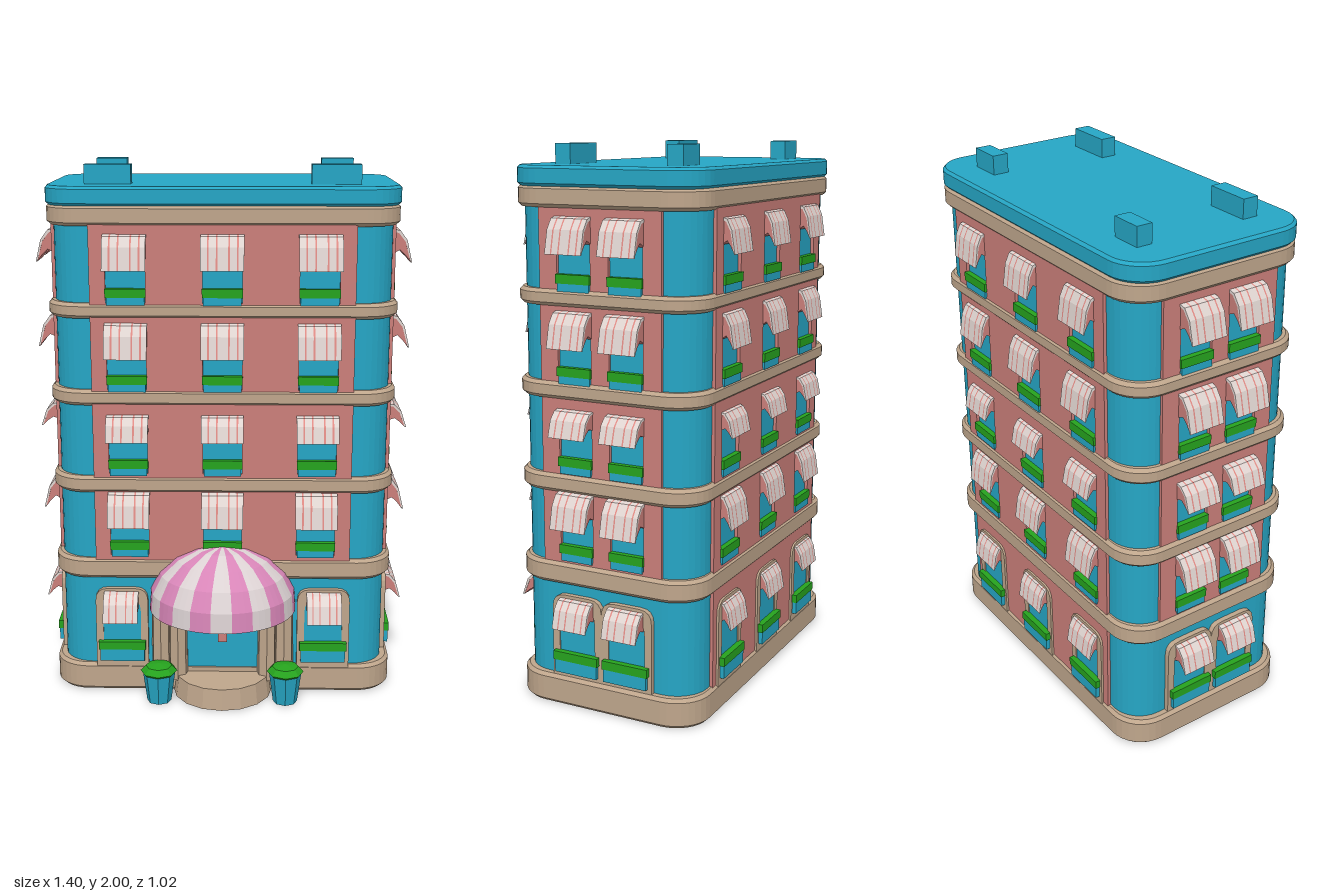
import * as THREE from 'three';
import { mergeGeometries } from 'three/addons/utils/BufferGeometryUtils.js';

const paint = (name, color) => Object.assign(new THREE.MeshStandardMaterial({ color }), { name });
const TEAL = paint('teal', 0x26a6c5);
const STONE = paint('stone', 0xbfa68c);
const BRICK = paint('brick', 0xcb7f7a);
const CLOTH = paint('white cloth', 0xe0d5d1);
const RED = paint('red stripe', 0xde8a84);
const LEAF = paint('leaf green', 0x26a31e);
const PINK = paint('canopy pink', 0xd886b8);
const CREAM = paint('canopy white', 0xdcd2d3);
PINK.side = CREAM.side = THREE.DoubleSide;

const MID_Z = -0.106;

// Faceted mesh added to a parent
function add(parent, name, geo, mat, x = 0, y = 0, z = 0) {
  const g = geo.index ? geo.toNonIndexed() : geo;
  g.computeVertexNormals();
  const m = new THREE.Mesh(g, mat);
  m.name = name;
  m.position.set(x, y, z);
  parent.add(m);
  return m;
}

const box = (w, h, d) => new THREE.BoxGeometry(w, h, d);

// Horizontal slab with rounded corners and bevelled edges
function slab(parent, name, hx, hz, y0, y1, r, bevel, mat) {
  const a = hx - bevel, b = hz - bevel;
  const s = new THREE.Shape();
  s.moveTo(a, -b + r).lineTo(a, b - r);
  s.absarc(a - r, b - r, r, 0, Math.PI / 2);
  s.absarc(-a + r, b - r, r, Math.PI / 2, Math.PI);
  s.absarc(-a + r, -b + r, r, Math.PI, Math.PI * 1.5);
  s.absarc(a - r, -b + r, r, Math.PI * 1.5, Math.PI * 2);
  const geo = new THREE.ExtrudeGeometry(s, {
    depth: y1 - y0 - 2 * bevel, curveSegments: 4, bevelEnabled: bevel > 0,
    bevelSize: bevel, bevelThickness: bevel, bevelSegments: 1,
  });
  geo.rotateX(-Math.PI / 2);
  return add(parent, name, geo, mat, 0, y0 + bevel, MID_Z);
}

// Outline with softened upper corners
function arch(path, w, y0, y1, c, x = 0) {
  path.moveTo(x - w, y0).lineTo(x + w, y0).lineTo(x + w, y1 - c);
  path.quadraticCurveTo(x + w, y1, x + w - c, y1).lineTo(x - w + c, y1);
  path.quadraticCurveTo(x - w, y1, x - w, y1 - c).lineTo(x - w, y0);
  return path;
}

function archFrame(w, y0, y1, iw, iy0, iy1, depth, c = 0.05) {
  const s = arch(new THREE.Shape(), w, y0, y1, c);
  s.holes.push(arch(new THREE.Path(), iw, iy0, iy1, c));
  return new THREE.ExtrudeGeometry(s, { depth, bevelEnabled: false, curveSegments: 4 });
}

// Awning: curved side profile swept across the width
const sweep = (pts, x0, x1) => {
  const s = new THREE.Shape(pts.map(p => new THREE.Vector2(...p)));
  return new THREE.ExtrudeGeometry(s, { depth: x1 - x0, bevelEnabled: false })
    .rotateY(-Math.PI / 2).translate(x1, 0, 0);
};
const SHELL = [[0, 0.112], [0.028, 0.106], [0.055, 0.075], [0.078, 0],
  [0.084, 0], [0.063, 0.08], [0.034, 0.115], [0, 0.122]];
const LINING = [[0, 0.03], [0.035, 0.045], [0.058, 0.025], [0.077, 0.002],
  [0.057, 0.075], [0.03, 0.107], [0, 0.114]];
const AW = 0.08;
const cloth = [], stripes = [];
let edge = -AW;
for (const x of [-0.052, -0.02, 0.025, 0.057]) {
  cloth.push(sweep(SHELL, edge, x - 0.003));
  stripes.push(sweep(SHELL, x - 0.003, x + 0.003));
  edge = x + 0.003;
}
cloth.push(sweep(SHELL, edge, AW));
const clothGeo = mergeGeometries(cloth);
const stripeGeo = mergeGeometries(stripes);
const liningGeo = sweep(LINING, -AW + 0.002, AW - 0.002);

function awning(parent, x, y, z, sx, sy, sz) {
  const g = new THREE.Group();
  g.name = 'awning';
  add(g, 'awningCloth', clothGeo, CLOTH);
  add(g, 'awningStripes', stripeGeo, RED);
  add(g, 'awningLining', liningGeo, BRICK);
  g.position.set(x, y, z);
  g.scale.set(sx, sy, sz);
  parent.add(g);
}

function planter(parent, x, y, z, w, h, d) {
  add(parent, 'planterTrough', box(w, h, d), TEAL, x, y - h / 2, z + d / 2);
  add(parent, 'planterLeaves', box(w + 0.01, 0.032, d + 0.006), LEAF, x, y + 0.014, z + d / 2);
}

// One wall: brick panel with window openings, awnings and planters
function facade(root, name, o) {
  const g = new THREE.Group();
  g.name = name;
  const t = 0.012, w = o.windowHalf;
  const panel = new THREE.Shape();
  panel.moveTo(-o.half, o.bottom).lineTo(o.half, o.bottom).lineTo(o.half, 1.82).lineTo(-o.half, 1.82);
  for (let f = 0; f < 4; f++) {
    const y = 0.57 + 0.32 * f;
    for (const x of o.windows) {
      panel.holes.push(arch(new THREE.Path(), w, y - 0.015, y + 0.2, 0.02, x));
      planter(g, x, y + 0.008, 0, 2 * w - 0.006, 0.03, 0.018);
      awning(g, x, y + (f === 1 ? 0.12 : 0.11), 0.004, w / 0.074, f === 1 ? 0.75 : 1.02, o.reach);
    }
  }
  add(g, 'brickPanel', new THREE.ExtrudeGeometry(panel, { depth: t, bevelEnabled: false }), BRICK);
  for (const x of o.ground) {
    add(g, 'windowFrame', archFrame(0.1, 0.1, 0.42, 0.072, 0.13, 0.38, 0.02), STONE, x);
    add(g, 'windowPane', box(0.15, 0.26, 0.004), TEAL, x, 0.255, 0.014);
    planter(g, x, 0.178, 0.012, 0.17, 0.05, 0.024);
    awning(g, x, 0.31, 0.01, o.groundWidth, 0.82, o.groundReach);
  }
  g.position.set(...o.at);
  g.rotation.y = o.turn;
  root.add(g);
}

function entrance(root) {
  const g = new THREE.Group();
  g.name = 'entrance';
  // Door and surround
  add(g, 'doorSurround', archFrame(0.27, 0.05, 0.42, 0.135, 0.08, 0.36, 0.03, 0.06), STONE, 0, 0, 0.24);
  add(g, 'door', box(0.28, 0.3, 0.008), TEAL, 0, 0.22, 0.258);
  add(g, 'doorPlaque', box(0.036, 0.07, 0.008), BRICK, 0, 0.24, 0.265);
  // Step
  const step = new THREE.CylinderGeometry(0.18, 0.19, 0.08, 16);
  add(g, 'frontStep', step, STONE, 0, 0.04, 0.245);
  for (const s of [-1, 1]) {
    for (const x of [0.17, 0.235])
      add(g, 'column', new THREE.CylinderGeometry(0.036, 0.038, 0.32, 7), STONE, s * x, 0.22, 0.268);
    // Potted shrubs
    add(g, 'pot', new THREE.CylinderGeometry(0.062, 0.046, 0.12, 8), TEAL, s * 0.24, 0.06, 0.345);
    const shrub = new THREE.SphereGeometry(0.07, 8, 4).scale(1, 0.42, 1);
    add(g, 'shrub', shrub, LEAF, s * 0.24, 0.122, 0.345);
  }
  // Striped half dome canopy
  const n = 11;
  for (let i = 0; i < n; i++) {
    const geo = new THREE.SphereGeometry(1, 1, 5, Math.PI * i / n, Math.PI / n, 0, 1.68);
    geo.scale(0.28, 0.225, 0.265);
    add(g, 'canopyStripe', geo, i % 2 ? CREAM : PINK, 0, 0.368, 0.245);
  }
  root.add(g);
}

export function createModel() {
  const root = new THREE.Group();
  root.name = 'hotelBuilding';

  // Base, walls, bands and roof
  slab(root, 'base', 0.65, 0.37, 0, 0.11, 0.12, 0.012, STONE);
  slab(root, 'walls', 0.618, 0.35, 0.08, 1.88, 0.12, 0, TEAL);
  for (const [a, b] of [[0.46, 0.54], [0.8, 0.865], [1.135, 1.195], [1.458, 1.515], [1.79, 1.865]])
    slab(root, 'band', 0.642, 0.368, a, b, 0.12, 0.012, STONE);
  slab(root, 'roof', 0.645, 0.367, 1.86, 1.93, 0.12, 0.01, TEAL);
  for (const [x, z, w] of [[-0.445, -0.325, 0.12], [0.44, -0.325, 0.125], [-0.418, 0.108, 0.17], [0.41, 0.108, 0.18]])
    add(root, 'roofVent', box(w, 0.08, 0.06), TEAL, x, 1.96, z);

  // Four walls
  const wide = [-0.35, 0, 0.35], pair = [-0.1, 0.1];
  facade(root, 'frontWall', { half: 0.48, bottom: 0.5, windows: wide, windowHalf: 0.072, reach: 0.9,
    ground: [-0.385, 0.385], groundWidth: 0.82, groundReach: 1.1, at: [0, 0, 0.244], turn: 0 });
  facade(root, 'backWall', { half: 0.48, bottom: 0.1, windows: wide, windowHalf: 0.072, reach: 0.6,
    ground: wide, groundWidth: 0.95, groundReach: 0.55, at: [0, 0, -0.456], turn: Math.PI });
  for (const s of [-1, 1])
    facade(root, s > 0 ? 'leftWall' : 'rightWall', { half: 0.235, bottom: 0.5, windows: pair,
      windowHalf: 0.065, reach: 0.92, ground: pair, groundWidth: 0.85, groundReach: 0.85,
      at: [s * 0.618, 0, MID_Z], turn: s * Math.PI / 2 });

  entrance(root);
  return root;
}
